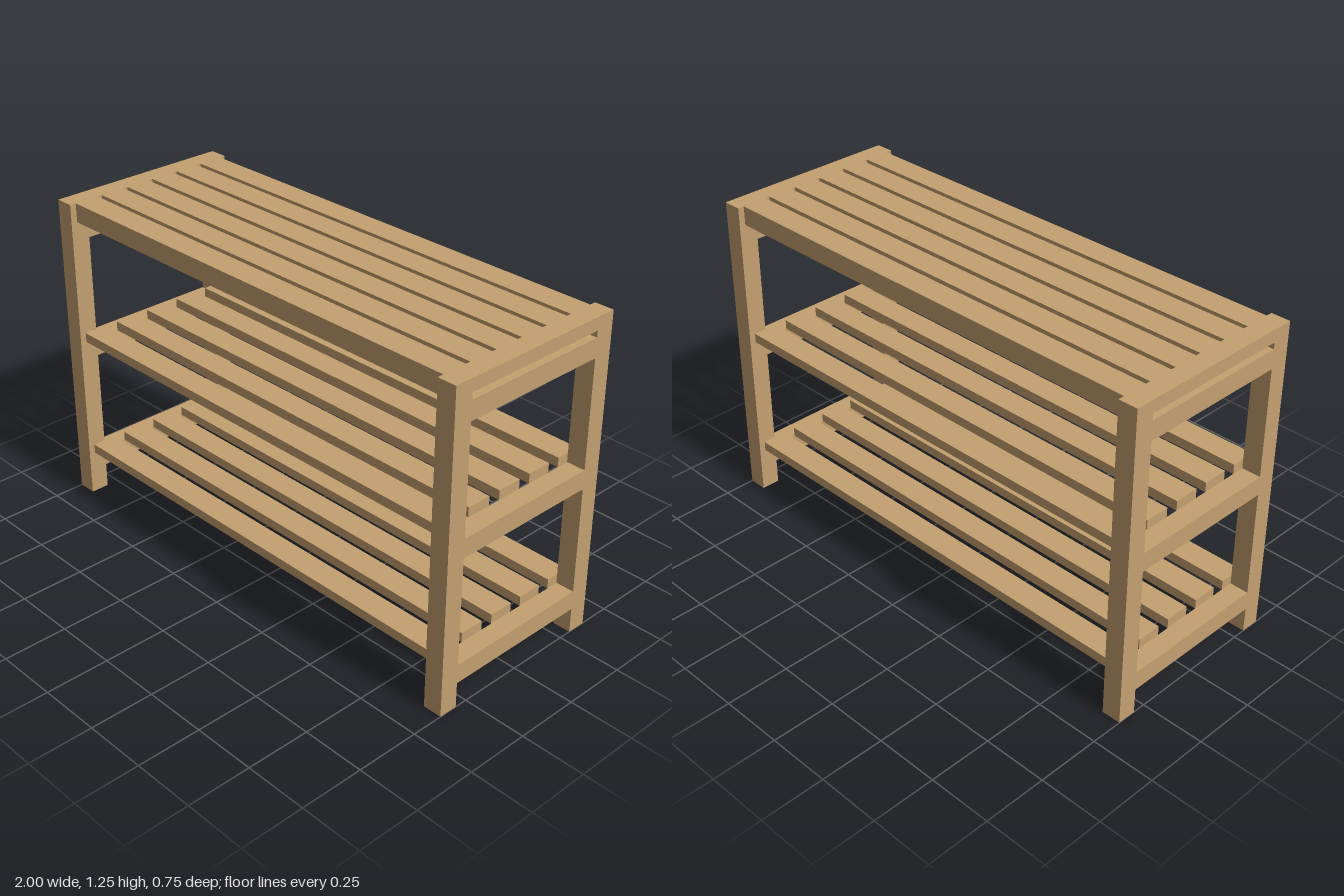
import * as THREE from 'three';

export function createModel() {
  const root = new THREE.Group();
  root.name = 'slattedRack';
  const wood = new THREE.MeshStandardMaterial({ color: 0xc4a070 });
  wood.name = 'tanWood';

  // Box given by its extents along each axis
  const box = (name, parent, [x0, x1], [y0, y1], [z0, z1]) => {
    const mesh = new THREE.Mesh(new THREE.BoxGeometry(x1 - x0, y1 - y0, z1 - z0), wood);
    mesh.position.set((x0 + x1) / 2, (y0 + y1) / 2, (z0 + z1) / 2);
    mesh.name = name;
    parent.add(mesh);
  };

  const inner = 0.925, legZ = 0.3, depth = 0.375, height = 1.25;

  // End frames: two legs, two shelf rails, and a slotted top rail
  for (const side of [1, -1]) {
    const frame = new THREE.Group();
    frame.name = side > 0 ? 'leftEndFrame' : 'rightEndFrame';
    const x = side > 0 ? [inner, 1] : [-1, -inner];
    box('frontLeg', frame, x, [0, height], [legZ, depth]);
    box('backLeg', frame, x, [0, height], [-depth, -legZ]);
    const rails = {
      lowerRail: [0.1, 0.175],
      middleRail: [0.6, 0.675],
      upperRail: [1.1, 1.175],
      topStrip: [1.2, height],
    };
    for (const [name, y] of Object.entries(rails)) box(name, frame, x, y, [-legZ, legZ]);
    root.add(frame);
  }

  // Rows of evenly spaced slats between the end frames
  const slatRow = (name, count, pitch, y) => {
    const row = new THREE.Group();
    row.name = name;
    for (let i = 0; i < count; i++) {
      const z = (i - (count - 1) / 2) * pitch;
      box('slat', row, [-inner, inner], y, [z - 0.05, z + 0.05]);
    }
    root.add(row);
  };
  slatRow('lowerShelf', 5, 0.15, [0.175, 0.2125]);
  slatRow('middleShelf', 5, 0.15, [0.675, 0.7125]);
  slatRow('seat', 6, 0.12, [1.175, height]);

  return root;
}
